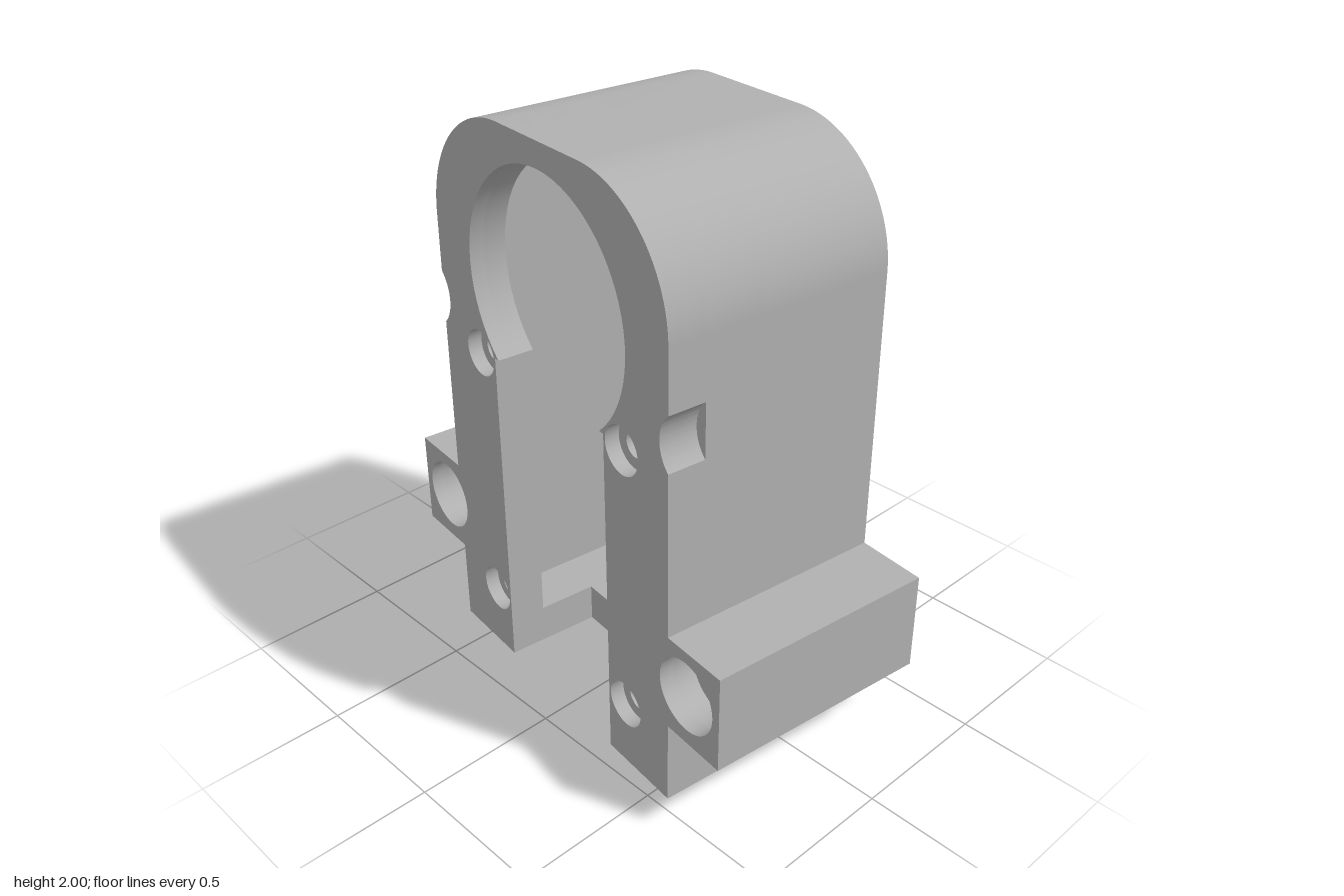
import * as THREE from 'three';
import { toCreasedNormals } from 'three/addons/utils/BufferGeometryUtils.js';

const HALF = 0.605, EAR = 0.845, SLOT = 0.297, TOP = 1.99, CORNER = 0.4;
const CAV = 0.48, FLOOR = 0.14, CEIL = 1.87;
const HOLE_X = 0.69, NOTCH_Y = 1.295, NOTCH_R = 0.125;

// Outer contour, counter-clockwise from the bottom right to the bottom left
function outerContour(startX, notched) {
  const s = new THREE.Shape();
  const a = Math.acos((HOLE_X - HALF) / NOTCH_R);
  s.moveTo(startX, 0);
  s.lineTo(HALF, 0);
  s.lineTo(HALF, 0.3);
  s.lineTo(EAR, 0.3);
  s.lineTo(EAR, 0.64);
  s.lineTo(HALF, 0.64);
  if (notched) s.absarc(HOLE_X, NOTCH_Y, NOTCH_R, Math.PI + a, Math.PI - a, true);
  s.absarc(HALF - CORNER, TOP - CORNER, CORNER, 0, Math.PI / 2, false);
  s.absarc(-HALF + CORNER, TOP - CORNER, CORNER, Math.PI / 2, Math.PI, false);
  if (notched) s.absarc(-HOLE_X, NOTCH_Y, NOTCH_R, a, -a, true);
  s.lineTo(-HALF, 0.64);
  s.lineTo(-EAR, 0.64);
  s.lineTo(-EAR, 0.3);
  s.lineTo(-HALF, 0.3);
  s.lineTo(-HALF, 0);
  return s;
}

function addHoles(shape, x, y, r) {
  for (const side of [-1, 1]) {
    shape.holes.push(new THREE.Path().absarc(side * x, y, r, 0, Math.PI * 2, true));
  }
}

// Front plate: keyhole opening, screw holes, ear counterbores, side notches
function plateShape(screwRadius) {
  const s = outerContour(SLOT, true);
  const cy = 1.495, r = 0.412, lip = 1.19;
  const a = Math.asin((lip - cy) / r);
  s.lineTo(-SLOT, 0);
  s.lineTo(-SLOT, lip);
  s.absarc(0, cy, r, Math.PI - a, a, true);
  s.lineTo(SLOT, lip);
  addHoles(s, 0.385, 1.175, screwRadius);
  addHoles(s, 0.385, 0.235, screwRadius);
  addHoles(s, HOLE_X, 0.475, NOTCH_R);
  return s;
}

// Walls around the cavity, with the floor cut open at the slot
function openWallShape() {
  const s = outerContour(SLOT, false);
  s.lineTo(-SLOT, 0);
  s.lineTo(-SLOT, FLOOR);
  s.lineTo(-CAV, FLOOR);
  s.lineTo(-CAV, CEIL);
  s.lineTo(CAV, CEIL);
  s.lineTo(CAV, FLOOR);
  s.lineTo(SLOT, FLOOR);
  addHoles(s, HOLE_X, 0.475, 0.065);
  return s;
}

// Walls around the cavity with a complete floor
function closedWallShape() {
  const s = outerContour(-HALF, false);
  const cavity = new THREE.Path();
  cavity.moveTo(-CAV, FLOOR);
  cavity.lineTo(-CAV, CEIL);
  cavity.lineTo(CAV, CEIL);
  cavity.lineTo(CAV, FLOOR);
  cavity.closePath();
  s.holes.push(cavity);
  addHoles(s, HOLE_X, 0.475, 0.065);
  return s;
}

export function createModel() {
  const grey = new THREE.MeshStandardMaterial({ color: 0xb0b0b0 });
  grey.name = 'grey';
  const model = new THREE.Group();
  model.name = 'mountingHousing';

  const slab = (name, shape, z0, z1) => {
    const geo = new THREE.ExtrudeGeometry(shape, {
      depth: z1 - z0, bevelEnabled: false, curveSegments: 24,
    });
    geo.translate(0, 0, z0);
    const mesh = new THREE.Mesh(toCreasedNormals(geo, 0.5), grey);
    mesh.name = name;
    housing.add(mesh);
  };

  // The housing stands slightly turned and leaning
  const housing = new THREE.Group();
  housing.name = 'housing';
  housing.rotation.set(0.009, -0.1185, -0.004);
  housing.position.set(0, 0.006, -0.0045);
  model.add(housing);

  slab('frontPlateCounterbores', plateShape(0.08), 0.35, 0.4);
  slab('frontPlate', plateShape(0.042), 0.27, 0.35);
  slab('slottedWalls', openWallShape(), 0.06, 0.27);
  slab('rearWalls', closedWallShape(), -0.4, 0.06);
  return model;
}
